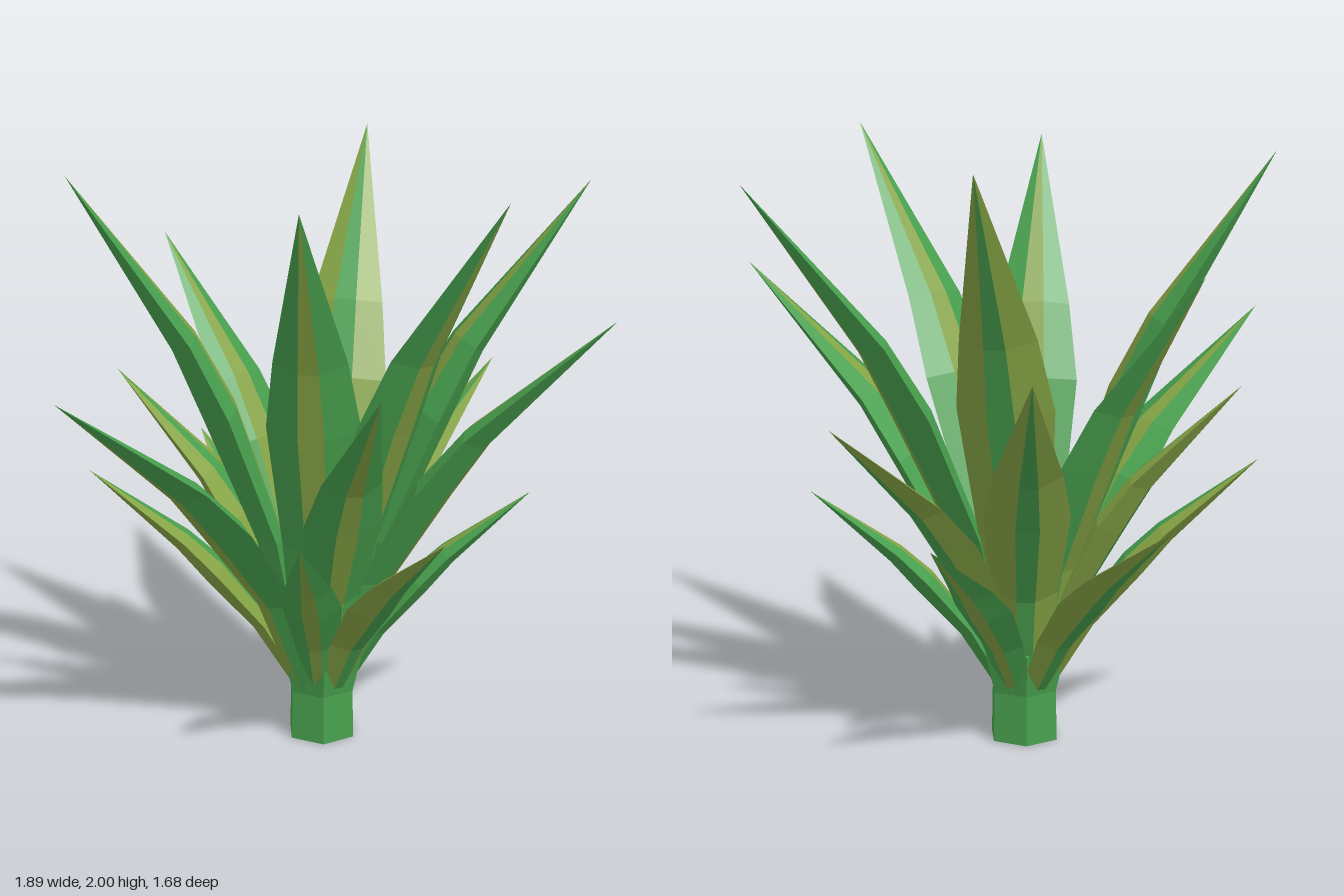
import * as THREE from 'three';

const green = new THREE.MeshStandardMaterial({ color: 0x48a04e, flatShading: true });
const olive = new THREE.MeshStandardMaterial({ color: 0x86a445, flatShading: true });
const CENTRE = new THREE.Vector3(0.08, 0, -0.02);

// Leaf tips [x, y, z], half width, and whether the blade is olive with a green stripe
const LEAVES = [
  // tall inner leaves
  [0.61, 1.98, -0.55, 0.16, true], [0.945, 1.89, 0.28, 0.16, false], [0.185, 2.0, 0.84, 0.14, false],
  [-0.33, 1.96, 0.48, 0.155, false], [-0.655, 1.96, -0.4, 0.16, false],
  // middle leaves
  [-0.09, 1.64, -0.76, 0.14, false], [0.55, 1.38, -0.77, 0.14, true], [0.895, 1.18, -0.17, 0.12, true],
  [0.655, 1.56, 0.79, 0.15, false], [-0.185, 1.41, 0.71, 0.13, false], [-0.945, 1.36, 0.05, 0.15, false],
  [-0.39, 1.24, -0.57, 0.13, true],
  // low outer leaves
  [0.09, 0.88, -0.84, 0.11, true], [0.69, 0.82, -0.42, 0.1, false], [0.69, 0.86, 0.33, 0.1, false],
  [0.07, 0.9, 0.7, 0.11, true], [-0.33, 0.89, 0.48, 0.1, false], [-0.58, 0.95, -0.43, 0.11, true],
];

// Blade cross-section: thin edges, raised middle strip, deep keel
const SECTION = [[1, 0], [0.3, 0.22], [-0.3, 0.22], [-1, 0], [-0.28, -0.5], [0.28, -0.5]];
// Position along the midline and relative width
const STATIONS = [[0, 0.5], [0.28, 0.76], [0.52, 1], [0.66, 0.78], [1, 0]];

function makeLeaf([x, y, z, halfWidth, isOlive]) {
  const tip = new THREE.Vector3(x, y, z);
  const out = tip.clone().sub(CENTRE).setY(0);
  const reach = out.length();
  out.normalize();
  const at = (r, h) => CENTRE.clone().addScaledVector(out, r).setY(h);
  const bend = y < 1 ? 0.33 : 0.2;
  const midline = new THREE.QuadraticBezierCurve3(
    at(0.06, 0.17), at(reach * bend, 0.17 + (y - 0.17) * 0.58), tip);
  const side = new THREE.Vector3(0, 1, 0).cross(out);

  const rings = STATIONS.map(([t, w]) => {
    const p = midline.getPoint(t);
    const up = midline.getTangent(t).cross(side);
    return SECTION.map(([s, n]) => p.clone()
      .addScaledVector(side, s * w * halfWidth)
      .addScaledVector(up, n * w * halfWidth));
  });

  // Sides first, then the middle stripes, as two material groups
  const points = [];
  const strip = (i) => {
    const j = (i + 1) % 6;
    for (let k = 0; k < rings.length - 1; k++) {
      const a = rings[k], b = rings[k + 1];
      points.push(a[i], a[j], b[i]);
      if (k < rings.length - 2) points.push(a[j], b[j], b[i]);
    }
  };
  [0, 2, 3, 5].forEach(strip);
  const split = points.length;
  [1, 4].forEach(strip);

  const geometry = new THREE.BufferGeometry().setFromPoints(points);
  geometry.addGroup(0, split, 0);
  geometry.addGroup(split, points.length - split, 1);
  geometry.computeVertexNormals();
  return new THREE.Mesh(geometry, isOlive ? [olive, green] : [green, olive]);
}

export function createModel() {
  const model = new THREE.Group();
  model.name = 'spikyPlant';

  // Short six-sided stem, flaring where the leaves spring out
  const profile = [[0, 0], [0.122, 0], [0.118, 0.17], [0.155, 0.32], [0, 0.45]];
  const stem = new THREE.Mesh(
    new THREE.LatheGeometry(profile.map(([r, h]) => new THREE.Vector2(r, h)), 6), green);
  stem.name = 'stem';
  stem.position.copy(CENTRE);
  stem.rotation.y = Math.PI / 6;
  model.add(stem);

  // Rosette of bent, pointed leaves
  const leaves = new THREE.Group();
  leaves.name = 'leaves';
  LEAVES.forEach((data, i) => {
    const leaf = makeLeaf(data);
    leaf.name = `leaf${i + 1}`;
    leaves.add(leaf);
  });
  model.add(leaves);
  return model;
}
